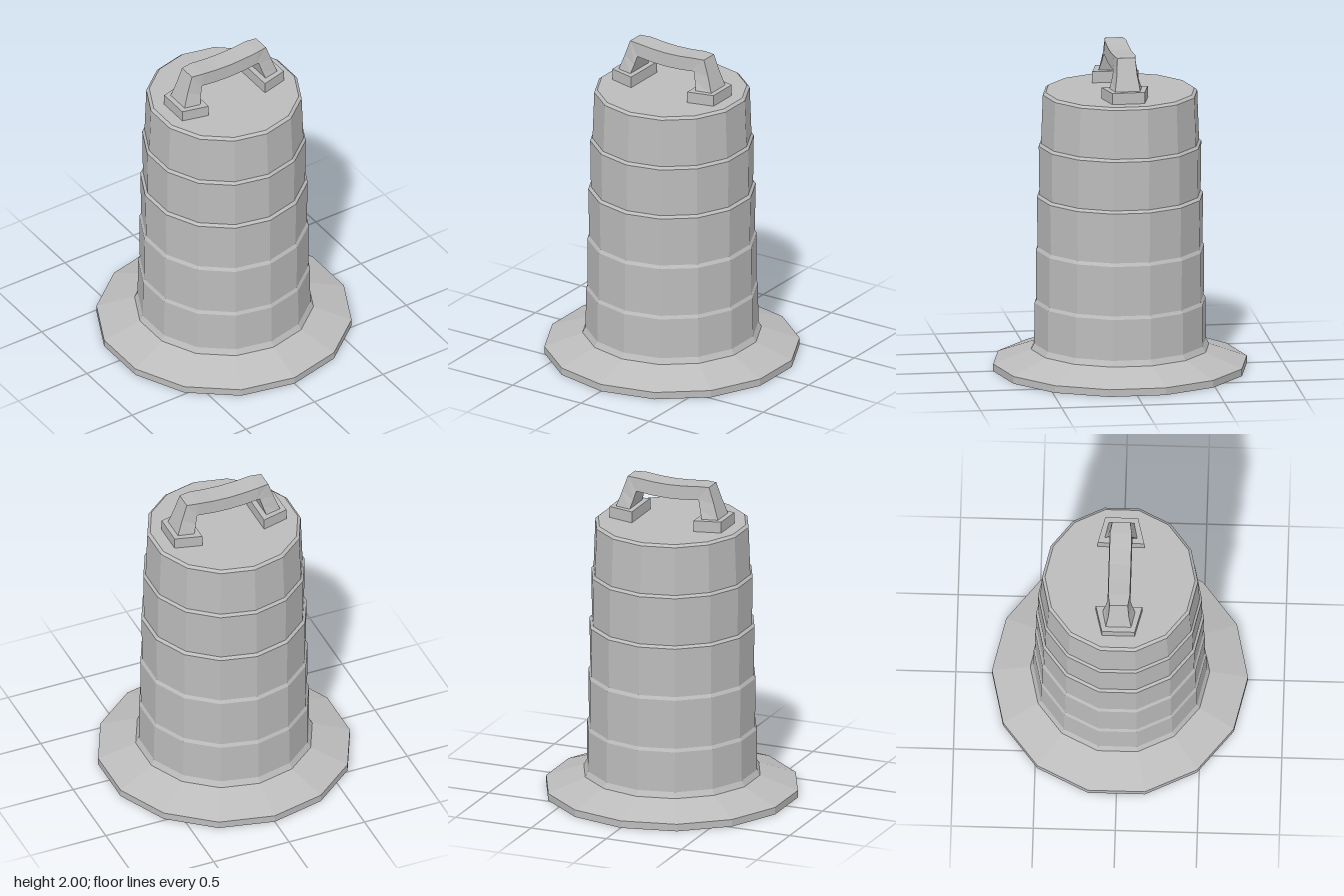
import * as THREE from 'three';

const SIDES = 14;

// Split shared corners so that every facet stays flat
function faceted(geometry) {
  const g = geometry.index ? geometry.toNonIndexed() : geometry;
  g.computeVertexNormals();
  return g;
}

// Loft four-cornered cross-sections: [outer x, y, half depth, inner x, y, half depth]
function loft(sections) {
  const positions = [], index = [];
  for (const [ox, oy, oz, ix, iy, iz] of sections) {
    positions.push(ox, oy, oz, ox, oy, -oz, ix, iy, -iz, ix, iy, iz);
  }
  for (let s = 0; s < sections.length - 1; s++) {
    for (let k = 0; k < 4; k++) {
      const a = s * 4 + k, b = s * 4 + (k + 1) % 4;
      index.push(a, b, a + 4, b, b + 4, a + 4);
    }
  }
  const g = new THREE.BufferGeometry();
  g.setAttribute('position', new THREE.Float32BufferAttribute(positions, 3));
  g.setIndex(index);
  return faceted(g);
}

export function createModel() {
  const group = new THREE.Group();
  const grey = new THREE.MeshStandardMaterial({ color: 0xbcbcbc });
  grey.name = 'plain grey';

  function add(name, geometry) {
    const mesh = new THREE.Mesh(geometry, grey);
    mesh.name = name;
    group.add(mesh);
    return mesh;
  }
  const lathe = (points) => faceted(new THREE.LatheGeometry(
    points.map(([r, y]) => new THREE.Vector2(r, y)), SIDES));

  // Wide weighted foot
  add('base', lathe([[0, 0], [0.78, 0], [0.78, 0.045], [0.547, 0.13]]));

  // Stepped barrel: each band is [bottom radius, bottom y, top radius, top y]
  const bands = [
    [0.528, 0.165, 0.526, 0.42],
    [0.515, 0.44, 0.518, 0.75],
    [0.506, 0.77, 0.512, 1.08],
    [0.496, 1.096, 0.5, 1.4],
    [0.486, 1.417, 0.475, 1.72],
  ];
  const profile = [[0.547, 0.13]];
  for (const [r0, y0, r1, y1] of bands) profile.push([r0, y0], [r1, y1]);
  profile.push([0.457, 1.735], [0, 1.735]);
  add('barrel', lathe(profile));

  // Tapered pads under the handle
  const padShape = new THREE.Shape([
    new THREE.Vector2(0.205, -0.142), new THREE.Vector2(0.37, -0.1),
    new THREE.Vector2(0.37, 0.1), new THREE.Vector2(0.205, 0.142),
  ]);
  const padGeometry = new THREE.ExtrudeGeometry(padShape, { depth: 0.08, bevelEnabled: false });
  padGeometry.rotateX(-Math.PI / 2);
  for (const [name, angle] of [['leftHandlePad', 0], ['rightHandlePad', Math.PI]]) {
    const pad = add(name, faceted(padGeometry));
    pad.position.y = 1.725;
    pad.rotation.y = angle;
  }

  // Carrying handle with splayed legs and a sagging grip
  const half = [
    [0.34, 1.8, 0.078, 0.24, 1.8, 0.1],
    [0.305, 1.9, 0.062, 0.222, 1.86, 0.082],
    [0.27, 2, 0.055, 0.207, 1.915, 0.07],
    [0.2, 2, 0.066, 0.19, 1.914, 0.07],
    [0.1, 1.99, 0.066, 0.1, 1.904, 0.07],
  ];
  const mirrored = half.map(([ox, oy, oz, ix, iy, iz]) => [-ox, oy, oz, -ix, iy, iz]).reverse();
  add('handle', loft([...half, [0, 1.986, 0.066, 0, 1.9, 0.07], ...mirrored]));

  return group;
}
